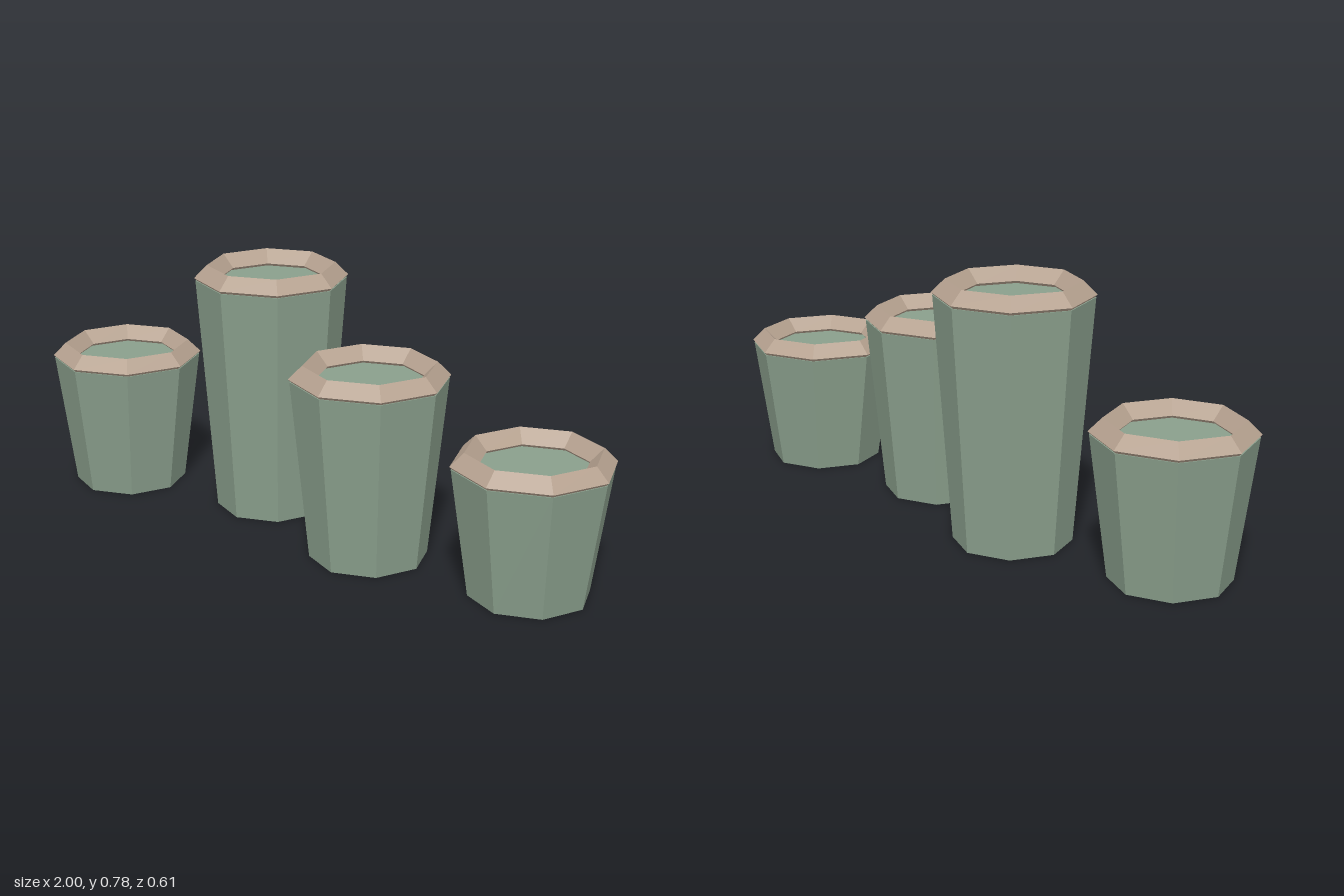
import * as THREE from 'three';

export function createModel() {
  const model = new THREE.Group();
  const green = new THREE.MeshStandardMaterial({ color: 0x8a9f8c, flatShading: true });
  green.name = 'sage green';
  const tan = new THREE.MeshStandardMaterial({ color: 0xb6a290, flatShading: true });
  tan.name = 'warm tan';

  const SIDES = 8;
  const RIM_RADIUS = 0.197, RIM_TUBE = 0.04;

  // Octagonal ring with a diamond section, shared by every column
  const rimGeometry = new THREE.TorusGeometry(RIM_RADIUS, RIM_TUBE, 4, SIDES).rotateX(-Math.PI / 2);

  // x, z and height of the rim's widest edge for each column
  const columns = [
    [-0.763, 0.053, 0.425],
    [-0.248, -0.07, 0.742],
    [0.243, 0.069, 0.552],
    [0.763, 0, 0.389],
  ];

  columns.forEach(([x, z, rimY], i) => {
    const column = new THREE.Group();
    column.name = `column${i + 1}`;
    column.position.set(x, 0, z);

    // Tapered body, closed at top and bottom
    const height = rimY - 0.008;
    const body = new THREE.Mesh(new THREE.CylinderGeometry(0.233, 0.177, height, SIDES), green);
    body.name = 'body';
    body.position.y = height / 2;

    // Raised rim around the flat top
    const rim = new THREE.Mesh(rimGeometry, tan);
    rim.name = 'rim';
    rim.position.y = rimY;

    column.add(body, rim);
    model.add(column);
  });

  return model;
}
